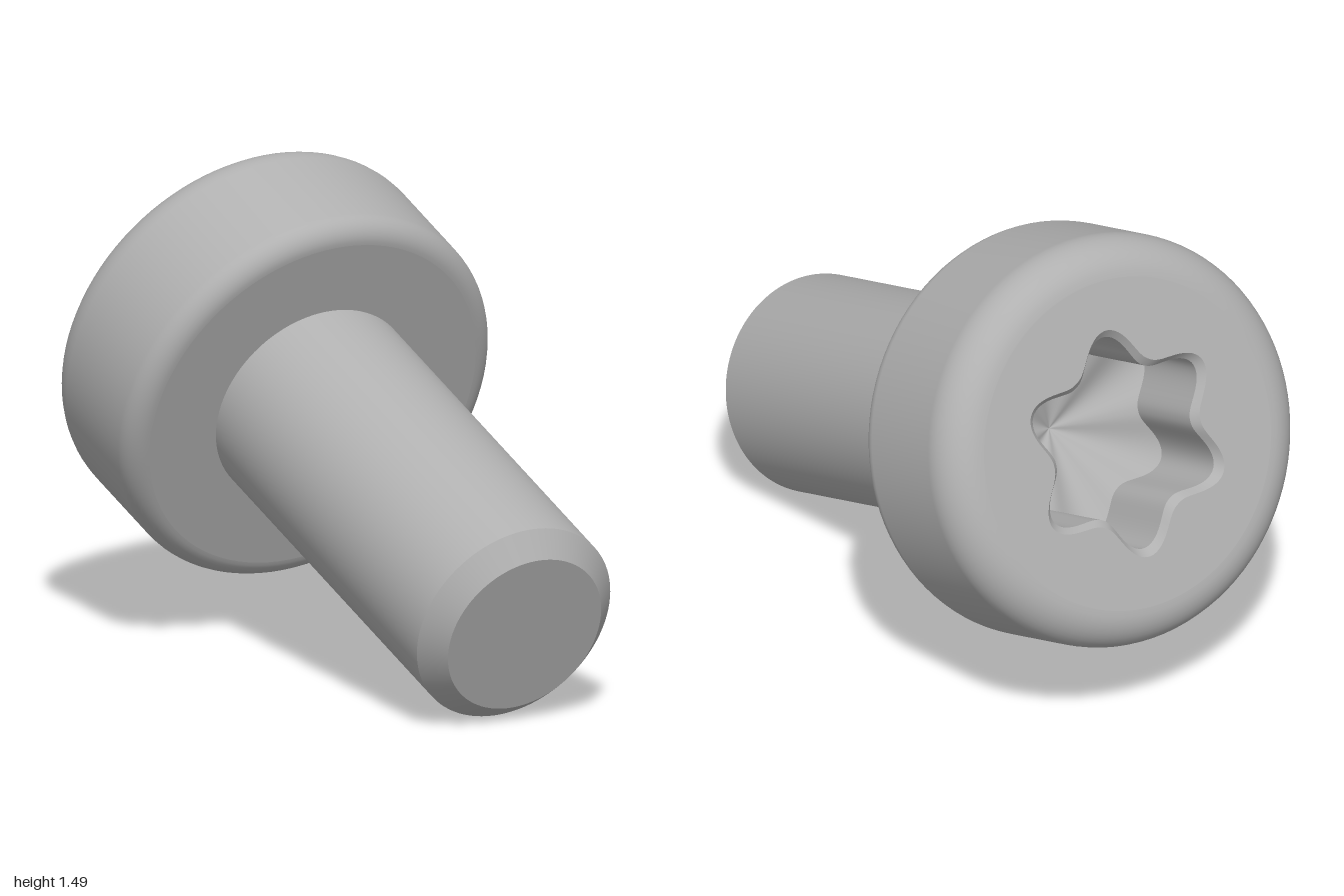
import * as THREE from 'three';

const SEG = 96;
const SHAFT_R = 0.3375, SHAFT_L = 1.35, CHAMFER = 0.07;
const HEAD_R = 0.64, HEAD_H = 0.523, TOP_FILLET = 0.125, BASE_FILLET = 0.07;

// Closed ring of points; shape(angle) gives the radius
function ring(shape, y, n = 192) {
  return Array.from({ length: n }, (_, i) => {
    const t = (i / n) * Math.PI * 2, r = shape(t);
    return [r * Math.cos(t), y, r * Math.sin(t)];
  });
}

// Surface between an outer (or upper) ring and an inner (or lower) ring
function strip(outer, inner) {
  const n = outer.length, index = [];
  for (let i = 0; i < n; i++) {
    const j = (i + 1) % n;
    index.push(i, n + i, j, n + i, n + j, j);
  }
  const g = new THREE.BufferGeometry();
  g.setAttribute('position', new THREE.Float32BufferAttribute([...outer, ...inner].flat(), 3));
  g.setIndex(index);
  g.computeVertexNormals();
  return g;
}

// Points of a quarter-round edge
function arc(cx, cy, r, from, to, steps = 10) {
  return Array.from({ length: steps + 1 }, (_, i) => {
    const a = from + ((to - from) * i) / steps;
    return new THREE.Vector2(cx + r * Math.cos(a), cy + r * Math.sin(a));
  });
}

export function createModel() {
  const steel = new THREE.MeshStandardMaterial({ color: 0xb0b0b0 });
  steel.name = 'steel grey';
  const screw = new THREE.Group();
  screw.name = 'screw';

  const add = (name, geometry) => {
    const mesh = new THREE.Mesh(geometry, steel);
    mesh.name = name;
    screw.add(mesh);
  };
  const lathe = (name, points) => add(name, new THREE.LatheGeometry(
    points.map((p) => (p.isVector2 ? p : new THREE.Vector2(...p))), SEG));

  // Shaft with chamfered tip; separate surfaces keep the edges sharp
  const tipR = SHAFT_R - CHAMFER;
  lathe('shaftTip', [[0, -SHAFT_L], [tipR, -SHAFT_L]]);
  lathe('shaftChamfer', [[tipR, -SHAFT_L], [SHAFT_R, -SHAFT_L + CHAMFER]]);
  lathe('shaft', [[SHAFT_R, -SHAFT_L + CHAMFER], [SHAFT_R, 0]]);

  // Head with rounded edges
  lathe('headUnderside', [[SHAFT_R, 0], [HEAD_R - BASE_FILLET, 0]]);
  lathe('headSide', [
    ...arc(HEAD_R - BASE_FILLET, BASE_FILLET, BASE_FILLET, -Math.PI / 2, 0),
    ...arc(HEAD_R - TOP_FILLET, HEAD_H - TOP_FILLET, TOP_FILLET, 0, Math.PI / 2),
  ]);

  // Six-lobed socket with bevelled rim and conical floor
  const phase = THREE.MathUtils.degToRad(29.5);
  const lobes = (valley, tip) => (t) =>
    valley + (tip - valley) * Math.pow((1 + Math.cos(6 * (t + phase))) / 2, 1.15);
  const rim = ring(lobes(0.268, 0.362), HEAD_H);
  const lip = ring(lobes(0.246, 0.338), HEAD_H - 0.025);
  const floor = ring(lobes(0.246, 0.338), HEAD_H - 0.33);
  const apex = ring(() => 0.0005, HEAD_H - 0.46);
  add('headFace', strip(ring(() => HEAD_R - TOP_FILLET, HEAD_H), rim));
  add('socketRim', strip(rim, lip));
  add('socketWall', strip(lip, floor));
  add('socketFloor', strip(floor, apex));

  // Lay the screw over, tip pointing down to the front
  const headDirection = new THREE.Vector3(-0.811, 0.337, -0.4785).normalize();
  screw.quaternion.setFromUnitVectors(new THREE.Vector3(0, 1, 0), headDirection);
  screw.position.set(-0.258, 0.752, -0.066);

  const model = new THREE.Group();
  model.name = 'model';
  model.add(screw);
  return model;
}
